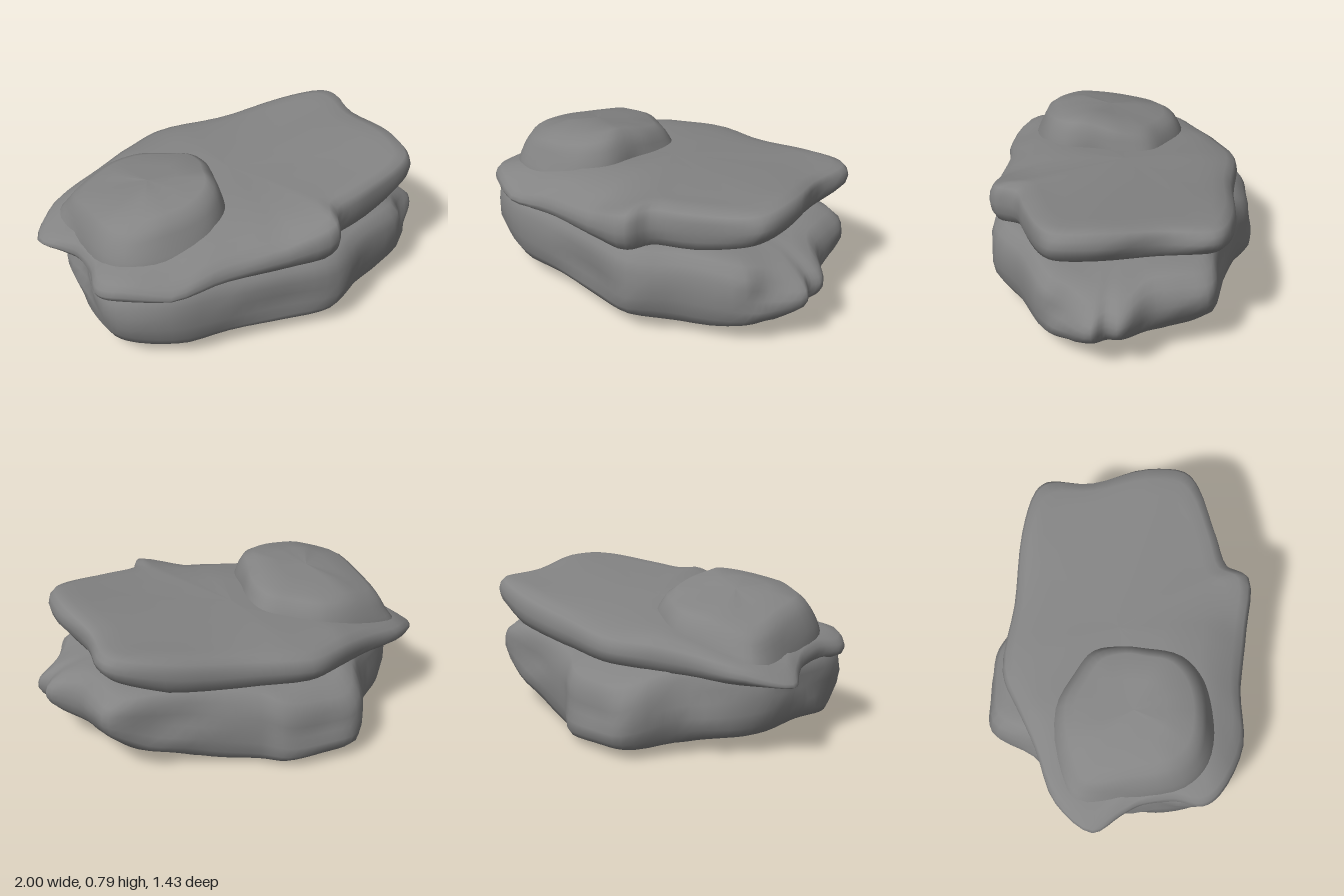
import * as THREE from 'three';

const material = new THREE.MeshStandardMaterial({ color: 0x848484 });

// Piecewise-linear height profile along an axis: [[position, height], ...]
function profile(t, pts) {
  if (t <= pts[0][0]) return pts[0][1];
  for (let i = 1; i < pts.length; i++) {
    const [a, ya] = pts[i - 1], [b, yb] = pts[i];
    if (t <= b) return ya + (yb - ya) * (t - a) / (b - a);
  }
  return pts[pts.length - 1][1];
}

// Smooth weathering wobble
const wobble = (x, y, z) =>
  Math.sin(6.1 * x + 4 * z + 9 * y) * 0.5 + Math.sin(9.7 * z - 5 * x + 13 * y + 1.3) * 0.5;

// Stone layer: a closed outline [x, z] (left, back, right, front) lofted through
// rings of [scale about centre, height from 0 = underside to 1 = top]
function stone(name, outline, [cx, cz], rings, bottom, top, rough) {
  const curve = new THREE.CatmullRomCurve3(
    outline.map(([x, z]) => new THREE.Vector3(x, 0, z)), true, 'centripetal');
  const n = outline.length * 4;
  const position = [], index = [];
  rings.forEach(([s, v]) => {
    for (let i = 0; i < n; i++) {
      const p = curve.getPoint(i / n);
      const x = cx + (p.x - cx) * s, z = cz + (p.z - cz) * s;
      const lo = bottom(x, z), hi = top(x, z);
      const y = lo + (hi - lo) * v;
      const w = wobble(x, y, z) * rough;
      const dent = 1 + Math.min(w, 0) * 4 * v * (1 - v) * 1.5;
      position.push(cx + (x - cx) * dent, y + w * 0.5 * s, cz + (z - cz) * dent);
    }
  });
  for (let j = 0; j < rings.length - 1; j++) {
    for (let i = 0; i < n; i++) {
      const a = j * n + i, b = j * n + (i + 1) % n, c = b + n, d = a + n;
      index.push(a, d, b, b, d, c);
    }
  }
  const geometry = new THREE.BufferGeometry();
  geometry.setAttribute('position', new THREE.Float32BufferAttribute(position, 3));
  geometry.setIndex(index);
  geometry.computeVertexNormals();
  const mesh = new THREE.Mesh(geometry, material);
  mesh.name = name;
  return mesh;
}

export function createModel() {
  const group = new THREE.Group();
  group.name = 'layeredRock';

  // Thick lower slab, undercut at its back left corner
  group.add(stone('lowerSlab', [
    [-0.88, 0.1], [-0.86, -0.15], [-0.74, -0.32], [-0.54, -0.48], [-0.38, -0.71],
    [-0.2, -0.72], [0, -0.69], [0.12, -0.6], [0.35, -0.5], [0.6, -0.43], [0.84, -0.36],
    [0.87, -0.2], [0.89, -0.04], [1, 0.1], [0.965, 0.17], [1, 0.24], [0.89, 0.36], [0.81, 0.46],
    [0.5, 0.58], [0.27, 0.71], [0, 0.68], [-0.3, 0.63], [-0.6, 0.6], [-0.83, 0.47], [-0.89, 0.32],
  ], [0, 0], [
    [0, 0], [0.35, 0], [0.65, 0], [0.85, 0.015], [0.94, 0.07], [0.98, 0.18], [1, 0.36],
    [1, 0.55], [0.99, 0.72], [0.965, 0.86], [0.91, 0.97], [0.8, 1], [0.4, 1], [0, 1],
  ],
  (x, z) => profile(x, [[-0.88, 0.1], [-0.5, 0.035], [0.26, 0.01], [0.6, 0.04], [1, 0.13]])
    + profile(z, [[0.38, 0], [0.68, 0.07]])
    + profile(0.83 * x - 0.55 * z, [[0.55, 0], [0.75, 0.06], [0.9, 0.15]]),
  (x, z) => profile(x, [[0.5, 0.47], [0.8, 0.44], [1, 0.36]])
    - profile(z, [[-0.72, 0.13], [-0.45, 0.01], [-0.3, 0]]), 0.035));

  // Broad upper slab, rising to the left end, bevelled along front and back
  group.add(stone('upperSlab', [
    [-1, -0.18], [-0.85, -0.36], [-0.58, -0.46], [-0.35, -0.55], [-0.16, -0.61],
    [0.2, -0.54], [0.58, -0.49], [0.8, -0.41], [0.85, -0.34], [0.84, -0.1], [0.885, 0.2],
    [0.86, 0.4], [0.78, 0.47], [0.5, 0.55], [0.33, 0.59], [0.26, 0.7], [0, 0.67],
    [-0.3, 0.62], [-0.6, 0.61], [-0.85, 0.47], [-0.9, 0.38], [-0.87, 0.24], [-0.89, 0.08], [-0.94, -0.03],
  ], [0, 0], [
    [0, 0], [0.4, 0], [0.7, 0], [0.87, 0.03], [0.95, 0.14], [0.99, 0.34], [1, 0.55],
    [0.99, 0.76], [0.965, 0.92], [0.9, 1], [0.8, 1], [0.65, 1], [0.35, 1], [0, 1],
  ],
  x => profile(x, [[-1, 0.36], [-0.6, 0.4], [0.2, 0.42], [0.55, 0.465], [0.88, 0.56]]),
  (x, z) => profile(x, [[-1, 0.43], [-0.85, 0.51], [-0.4, 0.62], [-0.05, 0.66], [0.3, 0.68], [0.86, 0.745]])
    - profile(z, [[0.4, 0], [0.62, 0.1]]) * profile(x, [[-0.8, 0], [-0.6, 1], [0, 0.8], [0.25, 0]])
    - profile(z, [[-0.62, 0.08], [-0.4, 0.035], [0.2, 0]]), 0.015));

  // Rounded cap on the right-hand side, its top sloping down to the back
  group.add(stone('capStone', [
    [-0.83, 0.02], [-0.83, -0.24], [-0.7, -0.31], [-0.4, -0.34], [-0.22, -0.24],
    [-0.1, -0.14], [-0.08, 0.02], [-0.12, 0.16], [-0.17, 0.32], [-0.3, 0.42],
    [-0.5, 0.45], [-0.7, 0.4], [-0.8, 0.28],
  ], [-0.47, 0.05], [
    [1.07, 0], [1.05, 0.25], [1.02, 0.43], [0.98, 0.6], [0.93, 0.76], [0.86, 0.91],
    [0.74, 1], [0.4, 1], [0, 1],
  ],
  () => 0.46,
  (x, z) => profile(x, [[-0.85, 0.67], [-0.55, 0.765], [-0.2, 0.795]])
    - profile(z, [[-0.35, 0.1], [0.2, 0], [0.45, 0.02]]), 0.025));

  return group;
}
